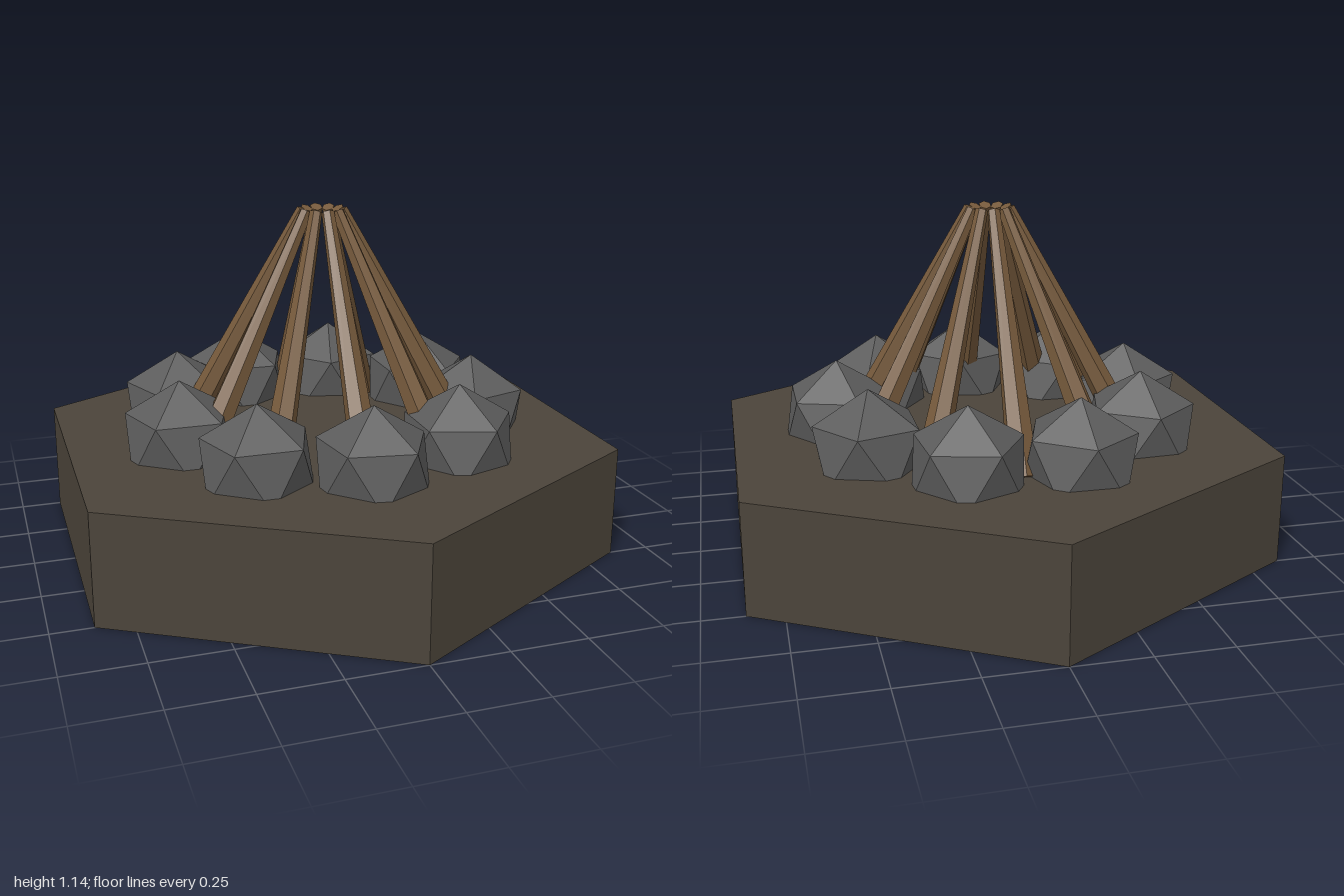
import * as THREE from 'three';

const rad = THREE.MathUtils.degToRad;

function material(color) {
  return new THREE.MeshStandardMaterial({ color, flatShading: true });
}

export function createModel() {
  const model = new THREE.Group();
  const earth = material(0x4b443a);
  const stone = material(0x5c5c5c);
  const wood = material(0x75593b);

  // Hexagonal ground slab with corners to the front and back
  const baseHeight = 0.37;
  const base = new THREE.Mesh(new THREE.CylinderGeometry(1, 1, baseHeight, 6), earth);
  base.name = 'groundSlab';
  base.position.y = baseHeight / 2;
  model.add(base);

  // Ring of stones: point-up icosahedra, half sunk and each turned a little
  const stoneGeometry = new THREE.IcosahedronGeometry(0.2, 0);
  stoneGeometry.rotateX(-Math.atan((1 + Math.sqrt(5)) / 2));
  const stones = new THREE.Group();
  stones.name = 'stoneRing';
  const turns = [27, 18, 54, 18, 58, 36, 39, 36, 36];
  turns.forEach((turn, i) => {
    const angle = rad(i * 40);
    const mesh = new THREE.Mesh(stoneGeometry, stone);
    mesh.name = 'stone';
    mesh.position.set(0.52 * Math.sin(angle), 0.415, 0.52 * Math.cos(angle));
    mesh.rotation.y = rad(turn);
    stones.add(mesh);
  });
  model.add(stones);

  // Ten tapered logs leaning together into a cone
  const top = new THREE.Vector2(0.063, 1.13);
  const foot = new THREE.Vector2(0.475, 0.36);
  const logGeometry = new THREE.CylinderGeometry(0.021, 0.05, top.distanceTo(foot), 6);
  const logs = new THREE.Group();
  logs.name = 'logPile';
  for (let i = 0; i < 10; i++) {
    const spoke = new THREE.Group();
    spoke.rotation.y = rad(i * 36);
    const log = new THREE.Mesh(logGeometry, wood);
    log.name = 'log';
    log.position.set(0, (top.y + foot.y) / 2, (top.x + foot.x) / 2);
    log.rotation.x = -Math.atan2(foot.x - top.x, top.y - foot.y);
    spoke.add(log);
    logs.add(spoke);
  }
  model.add(logs);

  return model;
}
